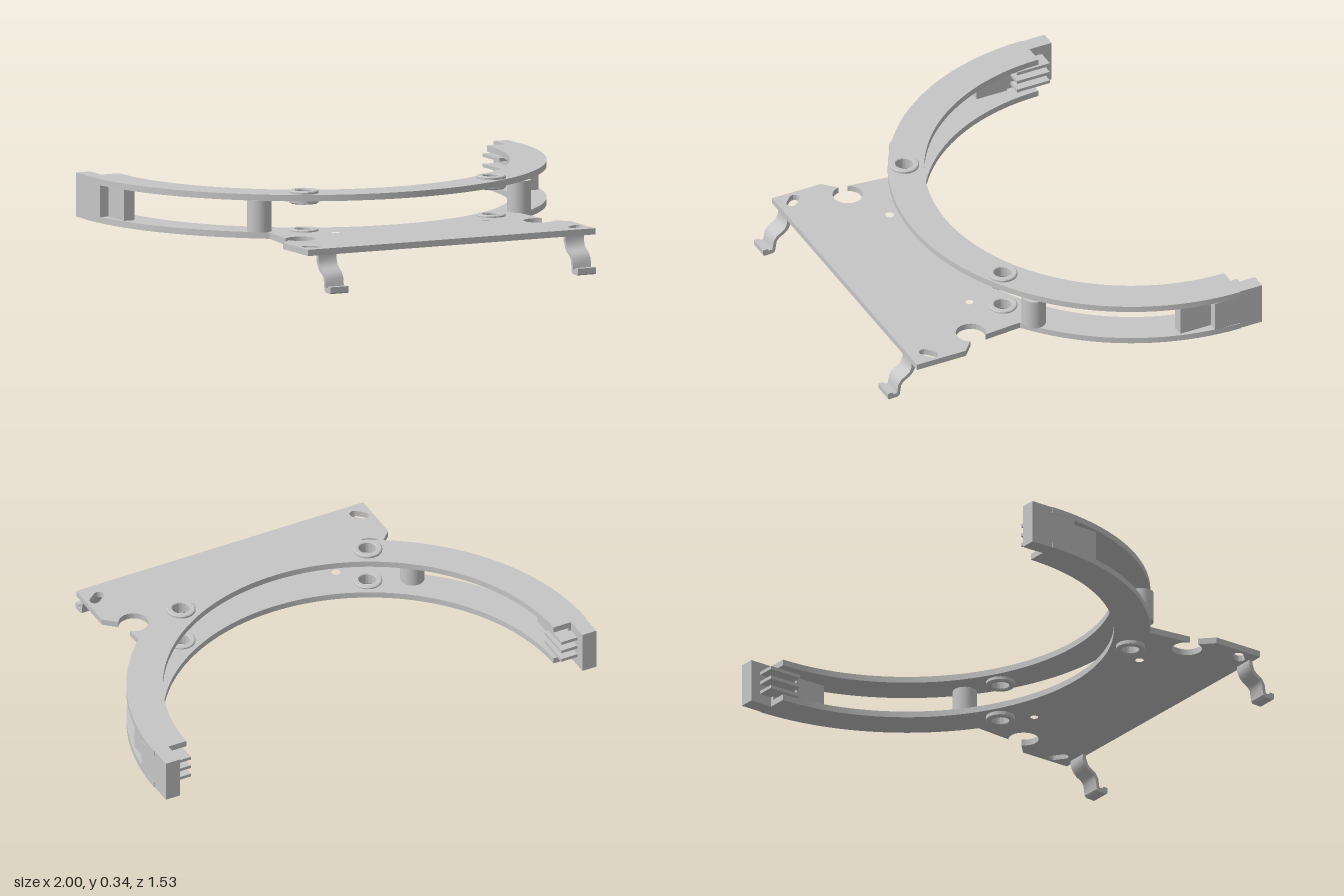
import * as THREE from 'three';
import { toCreasedNormals } from 'three/addons/utils/BufferGeometryUtils.js';

const rad = THREE.MathUtils.degToRad;
const CZ = -0.664;            // z of the ring centre
const R_OUT = 1, R_IN = 0.85; // ring radii
const LOW = 0.148, HIGH = 0.305, THICK = 0.026;

export function createModel() {
  const model = new THREE.Group();
  model.name = 'ringBracket';
  const grey = new THREE.MeshStandardMaterial({ color: 0xc6c6c6 });
  grey.name = 'light grey';

  const add = (name, geometry, x = 0, y = 0, z = 0) => {
    const mesh = new THREE.Mesh(geometry, grey);
    mesh.name = name;
    mesh.position.set(x, y, z);
    model.add(mesh);
  };
  const box = (name, x0, x1, y0, y1, z0, z1) =>
    add(name, new THREE.BoxGeometry(Math.abs(x1 - x0), y1 - y0, z1 - z0),
      (x0 + x1) / 2, (y0 + y1) / 2, (z0 + z1) / 2);

  // Flat plate from a plan outline, drawn with shape y = -z
  const plate = (name, shape, y) => {
    const g = new THREE.ExtrudeGeometry(shape, { depth: THICK, bevelEnabled: false, curveSegments: 48 });
    g.rotateX(-Math.PI / 2);
    add(name, toCreasedNormals(g, 0.5), 0, y, 0);
  };
  const roundHole = (shape, x, z, r) =>
    shape.holes.push(new THREE.Path().absarc(x, -z, r, 0, Math.PI * 2, true));
  const slot = (shape, x, z, half, r, angle) => {
    const dx = Math.cos(angle) * half, dy = Math.sin(angle) * half;
    const p = new THREE.Path();
    p.absarc(x + dx, -z + dy, r, angle - Math.PI / 2, angle + Math.PI / 2, false);
    p.absarc(x - dx, -z - dy, r, angle + Math.PI / 2, angle + Math.PI * 1.5, false);
    p.closePath();
    shape.holes.push(p);
  };
  const grommets = [[-0.423, 0.166], [0.449, 0.151]];
  const innerArc = (shape) => {
    shape.lineTo(-R_IN, -CZ);
    shape.absarc(0, -CZ, R_IN, Math.PI, Math.PI * 2, false);
    shape.closePath();
    for (const [x, z] of grommets) roundHole(shape, x, z, 0.04);
  };

  // Upper half ring
  const upper = new THREE.Shape();
  upper.moveTo(R_OUT, -CZ);
  upper.absarc(0, -CZ, R_OUT, 0, -Math.PI, true);
  innerArc(upper);
  plate('upperRing', upper, HIGH);

  // Lower half ring with the front apron and its open notches
  const lower = new THREE.Shape();
  lower.moveTo(R_OUT, -CZ);
  lower.absarc(0, -CZ, R_OUT, 0, Math.atan2(-0.807, 0.59), true);
  lower.absarc(0.563, -0.355, 0.062, rad(50), rad(332), false);
  lower.lineTo(0.67, -0.432);
  lower.lineTo(0.67, -0.656);
  lower.lineTo(-0.657, -0.656);
  lower.lineTo(-0.657, -0.432);
  lower.absarc(-0.541, -0.367, 0.062, rad(190), rad(515), false);
  lower.absarc(0, -CZ, R_OUT, Math.atan2(-0.817, -0.575), -Math.PI, true);
  innerArc(lower);
  roundHole(lower, -0.335, 0.278, 0.018);
  roundHole(lower, 0.367, 0.263, 0.016);
  slot(lower, -0.604, 0.587, 0.02, 0.021, rad(-45));
  slot(lower, 0.618, 0.576, 0.02, 0.021, rad(38));
  plate('lowerRingAndApron', lower, LOW);

  // Grommets: flanged bushes with a through hole
  const bush = [[0.056, -0.027], [0.06, -0.023], [0.06, 0.023], [0.056, 0.027],
    [0.039, 0.027], [0.036, 0.023], [0.036, -0.023], [0.039, -0.027], [0.056, -0.027]]
    .map(([r, y]) => new THREE.Vector2(r, y));
  const bushGeo = toCreasedNormals(new THREE.LatheGeometry(bush, 40), 0.5);
  for (const [x, z] of grommets) {
    add('lowerGrommet', bushGeo, x, 0.156, z);
    add('upperGrommet', bushGeo, x, 0.316, z);
  }

  // Round spacer posts between the rings
  const postGeo = new THREE.CylinderGeometry(0.05, 0.05, HIGH - LOW - THICK, 32);
  for (const [x, z] of [[-0.593, 0.095], [0.61, 0.089]])
    add('spacerPost', postGeo, x, (HIGH + LOW + THICK) / 2, z);

  // Ring ends: end block, spacer walls and three inward fins
  for (const s of [-1, 1]) {
    box('endBlock', s * 0.932, s * 0.997, LOW, HIGH + THICK, -0.765, CZ);
    box('endWall', s * 0.92, s * 0.997, LOW + THICK, HIGH, CZ, -0.55);
    box('innerWall', s * 0.91, s * 0.957, LOW + THICK, HIGH, -0.55, -0.41);
    for (const y of [0.197, 0.24, 0.283])
      box('contactFin', s * 0.858, s * 0.935, y - 0.007, y + 0.007, -0.72, -0.57);
  }

  // Bent spring legs, side profile in (z, y)
  const profile = [[0.637, 0.155], [0.637, 0.125], [0.649, 0.1], [0.664, 0.085], [0.69, 0.07],
    [0.702, 0.055], [0.709, 0.01], [0.717, 0.002], [0.757, 0], [0.764, 0.006], [0.764, 0.029],
    [0.742, 0.029], [0.738, 0.02], [0.722, 0.02], [0.72, 0.03], [0.715, 0.06], [0.702, 0.08],
    [0.679, 0.094], [0.664, 0.106], [0.654, 0.13], [0.654, 0.155]];
  const strip = new THREE.Shape(profile.map(([z, y]) => new THREE.Vector2(z, y)));
  const legGeo = new THREE.ExtrudeGeometry(strip, { depth: 0.084, bevelEnabled: false });
  legGeo.translate(0, 0, -0.042);
  legGeo.rotateY(-Math.PI / 2);
  const smoothLeg = toCreasedNormals(legGeo, 0.6);
  for (const x of [-0.566, 0.576]) add('springLeg', smoothLeg, x, 0, 0);

  return model;
}
